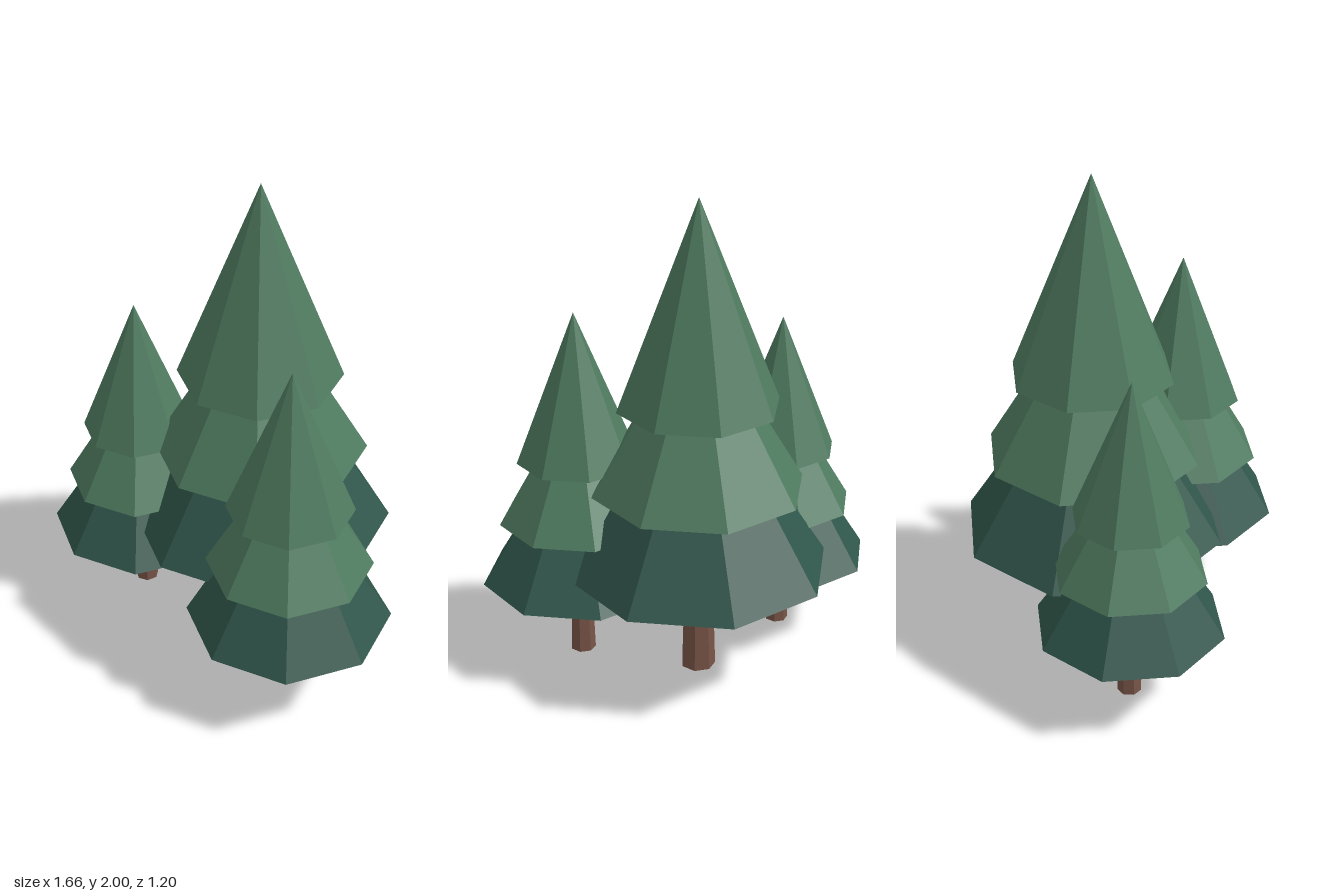
import * as THREE from 'three';

const flat = (name, color) => {
  const m = new THREE.MeshStandardMaterial({ color });
  m.name = name;
  m.flatShading = true;
  return m;
};

export function createModel() {
  const bark = flat('bark brown', 0x795548);
  const darkGreen = flat('dark needles', 0x30564b);
  const green = flat('needles', 0x4f7b60);

  const part = (parent, name, geometry, material, y) => {
    const mesh = new THREE.Mesh(geometry, material);
    mesh.name = name;
    mesh.position.y = y;
    parent.add(mesh);
  };

  // One conifer: tapered trunk and three stacked eight-sided cones.
  // Each tier is [name, base height, radius, cone height, material].
  const makeTree = (name, x, z, trunkRadius, tiers) => {
    const tree = new THREE.Group();
    tree.name = name;
    tree.position.set(x, 0, z);
    const trunkHeight = tiers[0][0] + 0.06;
    part(tree, 'trunk',
      new THREE.CylinderGeometry(trunkRadius * 0.78, trunkRadius, trunkHeight, 7),
      bark, trunkHeight / 2);
    ['lowerBranches', 'middleBranches', 'topBranches'].forEach((tierName, i) => {
      const [base, radius, height] = tiers[i];
      part(tree, tierName, new THREE.ConeGeometry(radius, height, 8),
        i === 0 ? darkGreen : green, base + height / 2);
    });
    return tree;
  };

  const model = new THREE.Group();
  model.name = 'pineGrove';
  model.add(
    makeTree('tallTree', -0.02, -0.06, 0.072,
      [[0.47, 0.54, 0.85], [0.82, 0.435, 0.73], [1.17, 0.33, 0.83]]),
    makeTree('leftTree', 0.42, 0.19, 0.053,
      [[0.355, 0.408, 0.64], [0.62, 0.328, 0.55], [0.885, 0.248, 0.62]]),
    makeTree('rightTree', -0.45, 0.22, 0.049,
      [[0.33, 0.38, 0.6], [0.575, 0.305, 0.51], [0.82, 0.23, 0.58]]),
  );
  return model;
}
